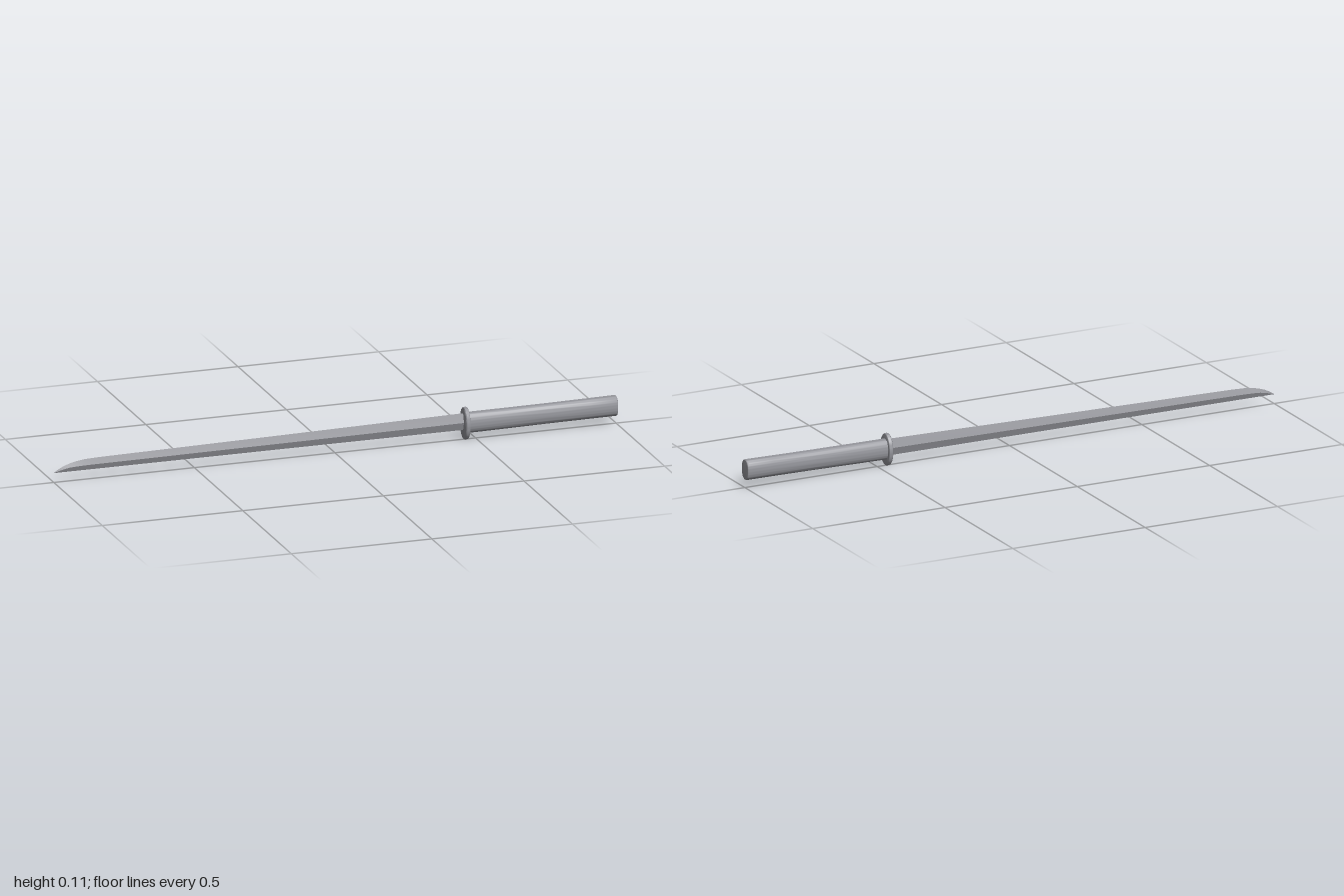
import * as THREE from 'three';
import { toCreasedNormals } from 'three/addons/utils/BufferGeometryUtils.js';

// Joins cross-sections along x; each ring runs from +y towards +z. Both ends are capped.
function loft(rings, crease) {
  const n = rings[0].length;
  const pos = [], index = [];
  for (const ring of rings) for (const p of ring) pos.push(...p);
  for (let i = 0; i < rings.length - 1; i++) {
    for (let j = 0; j < n; j++) {
      const a = i * n + j, b = i * n + (j + 1) % n;
      index.push(a, b, b + n, a, b + n, a + n);
    }
  }
  const last = (rings.length - 1) * n;
  for (let j = 1; j < n - 1; j++) {
    index.push(0, j + 1, j);
    index.push(last, last + j, last + j + 1);
  }
  const g = new THREE.BufferGeometry();
  g.setAttribute('position', new THREE.Float32BufferAttribute(pos, 3));
  g.setIndex(index);
  return toCreasedNormals(g, crease);
}

// Rounded oval ring; power 2 is an ellipse, higher values square it off
function oval(x, cy, ry, rz, power = 2, n = 48) {
  const bend = (v) => Math.sign(v) * Math.abs(v) ** (2 / power);
  return Array.from({ length: n }, (_, j) => {
    const a = (j / n) * Math.PI * 2;
    return [x, cy + ry * bend(Math.cos(a)), rz * bend(Math.sin(a))];
  });
}

// Diamond blade section: sharp above and below, with a ridge on each side
function bladeSection(x, top, ridge, bottom, half) {
  return [[x, top, 0], [x, ridge, half], [x, bottom, 0], [x, ridge, -half]];
}

export function createModel() {
  const group = new THREE.Group();
  const material = new THREE.MeshStandardMaterial({ color: 0x96979d });
  const add = (name, geometry) => {
    const mesh = new THREE.Mesh(geometry, material);
    mesh.name = name;
    group.add(mesh);
  };

  // Long blade, with the upper edge curving down to the point
  const stations = [
    [-1, 0.034, 0.0335, 0.033, 0.0003],
    [-0.985, 0.044, 0.038, 0.033, 0.002],
    [-0.965, 0.054, 0.044, 0.033, 0.004],
    [-0.945, 0.061, 0.048, 0.033, 0.0055],
    [-0.92, 0.067, 0.05, 0.033, 0.0065],
    [-0.89, 0.071, 0.051, 0.033, 0.0068],
    [-0.84, 0.073, 0.0515, 0.033, 0.007],
    [-0.2, 0.082, 0.0555, 0.033, 0.008],
    [0.46, 0.092, 0.06, 0.033, 0.009],
  ];
  add('blade', loft(stations.map((s) => bladeSection(...s)), 0.15));

  // Oval guard with a rounded rim: x and inset from the widest outline
  const rim = [
    [0.456, 0.006], [0.456, 0.003], [0.458, 0.001], [0.461, 0],
    [0.466, 0], [0.469, 0.001], [0.471, 0.003], [0.471, 0.006],
  ];
  add('guard', loft(rim.map(([x, d]) => oval(x, 0.0565, 0.0565 - d, 0.037 - d)), 0.9));

  // Grip, rising a little towards the softly rounded end
  const grip = [
    [0.465, 0.058, 0.036, 0.025], [0.6, 0.059, 0.0355, 0.0245],
    [0.75, 0.0605, 0.035, 0.024], [0.9, 0.062, 0.0353, 0.0245],
    [0.996, 0.063, 0.0358, 0.025], [0.999, 0.063, 0.0348, 0.024],
    [1, 0.063, 0.0328, 0.022], [1, 0.063, 0.0298, 0.019],
  ];
  add('grip', loft(grip.map(([x, cy, ry, rz]) => oval(x, cy, ry, rz, 2.3)), 0.9));

  return group;
}
